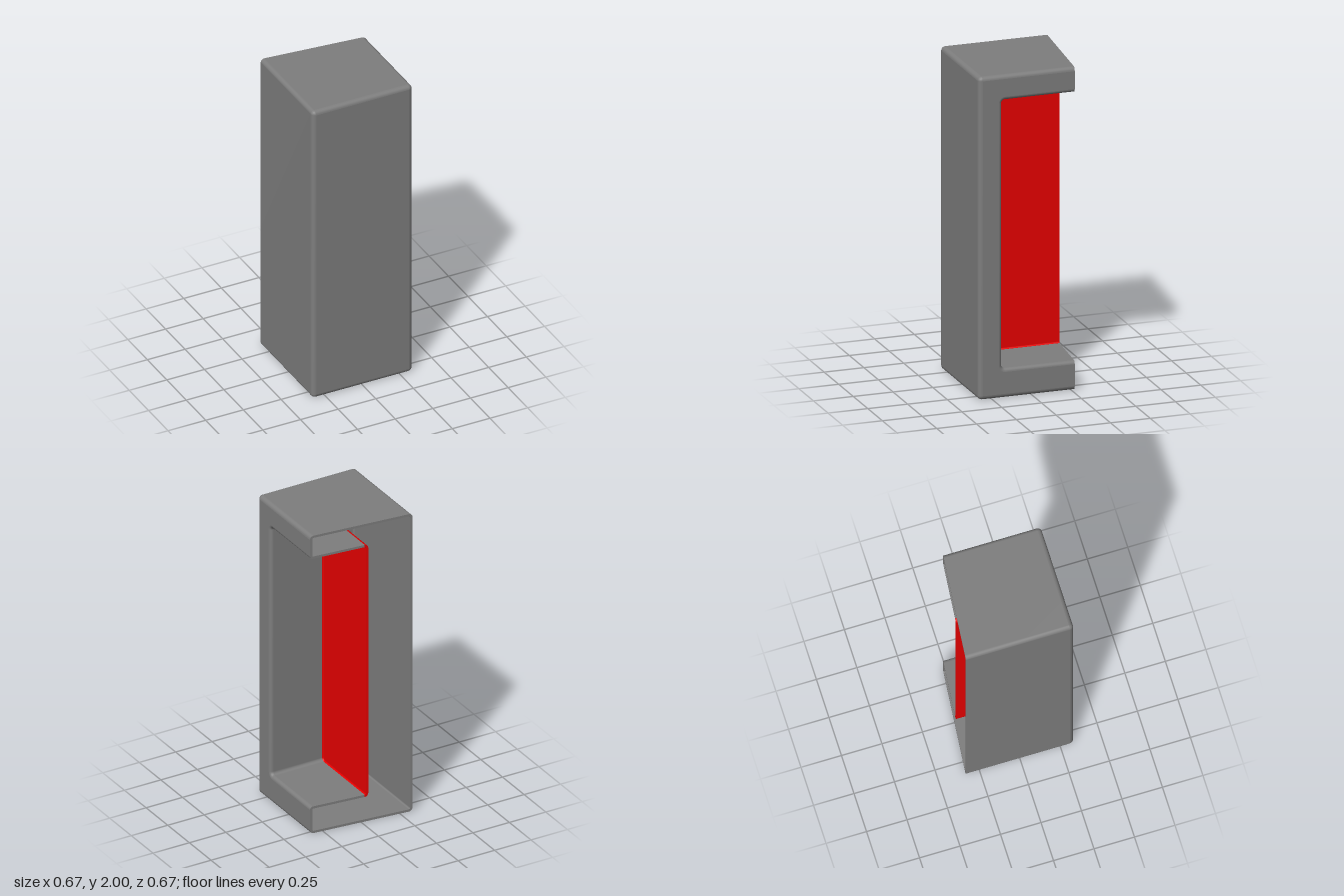
import * as THREE from 'three';
import { mergeGeometries } from 'three/addons/utils/BufferGeometryUtils.js';

const WALL = 0.015;  // shell thickness
const SEG = 5;       // steps per rounded edge
const V = (x, y, z) => new THREE.Vector3(x, y, z);
const steps = Array.from({ length: SEG + 1 }, (_, i) => (i / SEG) * Math.PI / 2);

// The open back is cut along a slanted plane
const backZ = (x) => -0.3025 + 0.0985 * x;

// Smooth surface through rows of points, all rows equally long
function loft(rows) {
  const n = rows[0].length, index = [];
  for (let r = 0; r < rows.length - 1; r++) {
    for (let i = 0; i < n - 1; i++) {
      const a = r * n + i, b = a + n;
      index.push(a, a + 1, b + 1, a, b + 1, b);
    }
  }
  const g = new THREE.BufferGeometry().setFromPoints(rows.flat());
  g.setIndex(index);
  g.computeVertexNormals();
  return g;
}

// Rounded rectangle in x/y, running from the lower +x corner round to the upper one
function roundedLoop(X, y0, y1, r, zAt) {
  const corners = [[X - r, y0 + r, 0], [-X + r, y0 + r, 1], [-X + r, y1 - r, 2], [X - r, y1 - r, 3]];
  return corners.flatMap(([cx, cy, q]) => steps.map((s) => {
    const a = -(q * Math.PI / 2 + s);
    const x = cx + r * Math.cos(a);
    return V(x, cy + r * Math.sin(a), zAt(x));
  }));
}

// U-shaped path in the y/z plane, open toward the back
function uPath(x, y0, y1, z, r) {
  const low = steps.map((s) => V(x, y0 + r * (1 - Math.sin(s)), z - r * (1 - Math.cos(s)))).reverse();
  const high = steps.map((s) => V(x, y1 - r * (1 - Math.sin(s)), z - r * (1 - Math.cos(s))));
  return [V(x, y0, backZ(x)), ...low, ...high, V(x, y1, backZ(x))];
}

// One skin of the shell, offset inward by t
function skin(t) {
  const X = 0.333 - t, y0 = t, y1 = 2 - t, zf = 0.333 - t, R = 0.025 - t;
  const ry0 = 0.18 - t, ry1 = 1.845 + t, rz = 0.187 + t, rx = -0.03 - t;
  const lip = 0.02 - t, fil = 0.008 + t, corner = 0.02 + t;

  // Sides, open where the +x face goes, then the rounded front edge
  const back = roundedLoop(X, y0, y1, R, backZ);
  const sides = loft([back, roundedLoop(X, y0, y1, R, () => zf - R)]);
  const front = loft(steps.map((s) => {
    const d = R * (1 - Math.cos(s));
    const p = roundedLoop(X - d, y0 + d, y1 - d, R - d, () => zf - R + R * Math.sin(s));
    return [...p, p[0].clone()];
  }));
  const cap = loft([y0 + R, y1 - R].map((y) => [V(-X + R, y, zf), V(X - R, y, zf)]));

  // +x face, rounded lip and recess walls
  const recess = (x, off) => uPath(x, ry0 - off, ry1 + off, rz + off, corner + off);
  const border = uPath(X, y0 + R, y1 - R, zf - R, 0);
  const lipRows = steps.map((s) => recess(X - lip * (1 - Math.cos(s)), lip * (1 - Math.sin(s))));
  const filRows = steps.map((s) => recess(rx + fil * (1 - Math.sin(s)), -fil * (1 - Math.cos(s))));
  const face = loft([border, lipRows[0]]);
  const walls = loft([lipRows[SEG], filRows[0]]);

  // Recess floor, spanned between the lower and upper half of its outline
  const edge = filRows[SEG], half = edge.length / 2;
  const floor = loft([edge.slice(0, half), edge.slice(half).reverse()]);

  // Outlines at the open back, used to close the rim
  const low = (rows) => rows.map((r) => r[0]);
  const high = (rows) => rows.map((r) => r[r.length - 1]);
  const wallRows = [border, ...lipRows, filRows[0]];
  return {
    shell: [sides, front, cap, face, loft(lipRows), walls],
    panel: [loft(filRows), floor],
    shellRim: [...low(wallRows).reverse(), ...back, ...high(wallRows)],
    panelRim: [...low(filRows), ...high(filRows).reverse()],
  };
}

export function createModel() {
  const outer = skin(0), inner = skin(WALL);
  const group = new THREE.Group();
  group.name = 'recessedCover';

  const add = (name, color, key) => {
    const rim = loft([outer[key + 'Rim'], inner[key + 'Rim']]);
    const mesh = new THREE.Mesh(
      mergeGeometries([...outer[key], ...inner[key], rim]),
      new THREE.MeshStandardMaterial({ color, side: THREE.DoubleSide }),
    );
    mesh.name = name;
    group.add(mesh);
  };
  add('coverShell', 0x7e7e7e, 'shell');
  add('recessPanel', 0xe80000, 'panel');
  return group;
}
